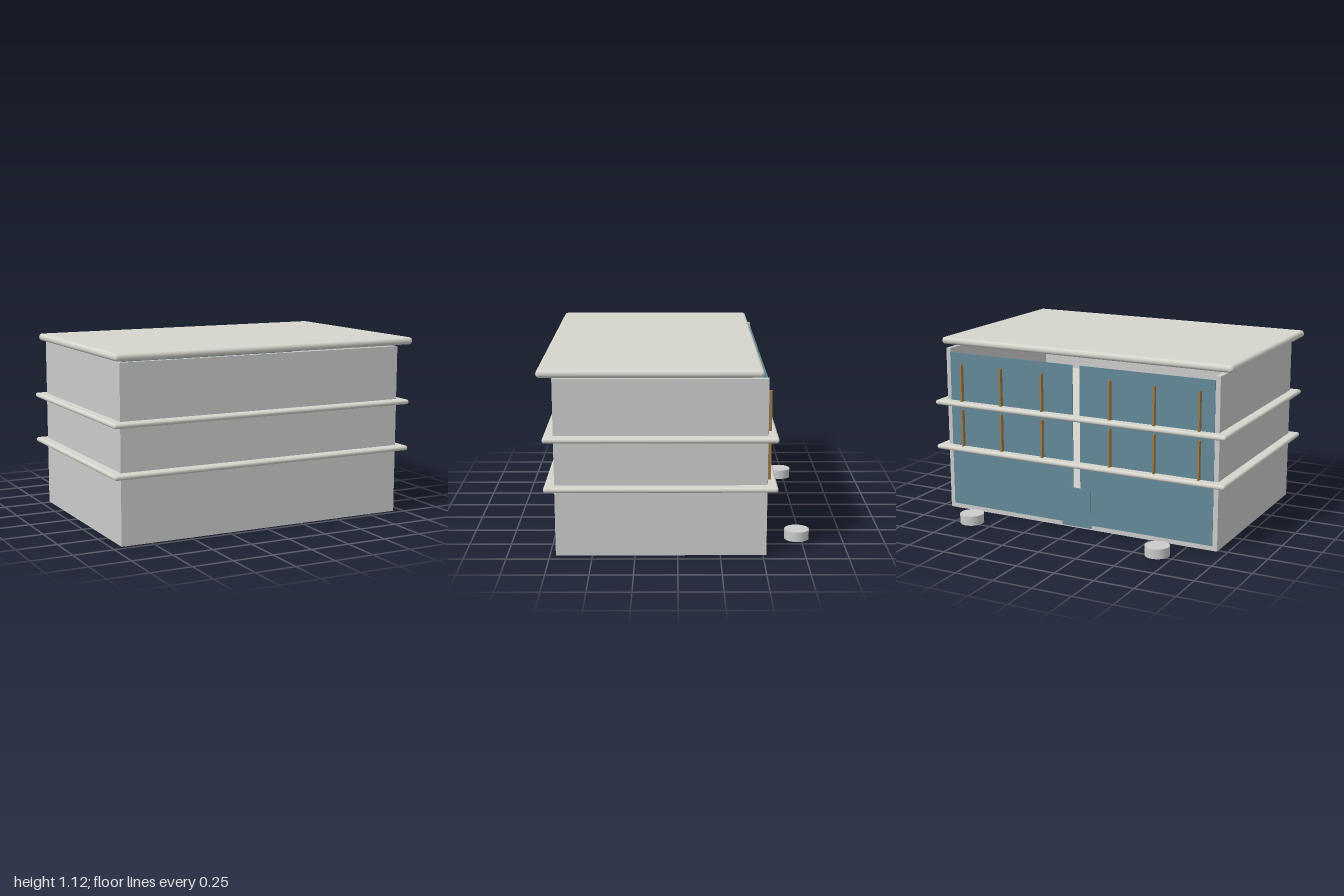
import * as THREE from 'three';
import { RoundedBoxGeometry } from 'three/addons/geometries/RoundedBoxGeometry.js';

const mat = (color) => new THREE.MeshStandardMaterial({ color });

export function createModel() {
  const model = new THREE.Group();
  const grey = mat(0xcccccc);
  const stone = mat(0xd6d5cd);
  const teal = mat(0x628a98);
  const wood = mat(0x9c7b4a);

  const add = (name, geometry, material, x, y, z, parent = model) => {
    const mesh = new THREE.Mesh(geometry, material);
    mesh.name = name;
    mesh.position.set(x, y, z);
    parent.add(mesh);
    return mesh;
  };
  // Box given by its minimum and maximum corners
  const box = (name, material, x0, x1, y0, y1, z0, z1, parent) =>
    add(name, new THREE.BoxGeometry(x1 - x0, y1 - y0, z1 - z0), material,
      (x0 + x1) / 2, (y0 + y1) / 2, (z0 + z1) / 2, parent);

  // Hollow shell, open at the top and on the glazed side
  const shell = new THREE.Group();
  shell.name = 'shell';
  model.add(shell);
  box('floor', grey, -0.94, 0.94, 0, 0.03, -0.52, 0.715, shell);
  box('frontWall', grey, -0.94, 0.94, 0.03, 1.06, 0.685, 0.715, shell);
  for (const s of [-1, 1]) {
    box('sideWall', grey, s * 0.925 - 0.015, s * 0.925 + 0.015, 0.03, 1.06, -0.52, 0.685, shell);
  }

  // Floor slabs and roof with rounded edges
  const slab = (name, y0, y1, z0, z1) => {
    const h = y1 - y0;
    add(name, new RoundedBoxGeometry(2, h, z1 - z0, 4, h * 0.48), stone, 0, (y0 + y1) / 2, (z0 + z1) / 2);
  };
  slab('lowerSlab', 0.4, 0.43, -0.58, 0.775);
  slab('upperSlab', 0.695, 0.725, -0.58, 0.775);
  slab('roof', 1.075, 1.12, -0.49, 0.8);

  // Glazing either side of a narrow central opening, with fins and bollards
  for (const s of [-1, 1]) {
    box('glassPanel', teal, s * 0.4675 - 0.4425, s * 0.4675 + 0.4425, 0.03, 1.035, -0.523, -0.517);
    for (const x of [0.235, 0.53, 0.82]) {
      for (const y of [0.43, 0.725]) {
        box('fin', wood, s * x - 0.006, s * x + 0.006, y, y + 0.24, -0.548, -0.518);
      }
    }
    add('bollard', new THREE.CylinderGeometry(0.075, 0.075, 0.06, 32), grey, s * 0.645, 0.03, -0.725);
  }

  // Entrance door
  box('door', teal, -0.1, 0.1, 0.01, 0.26, -0.528, -0.52);

  return model;
}
